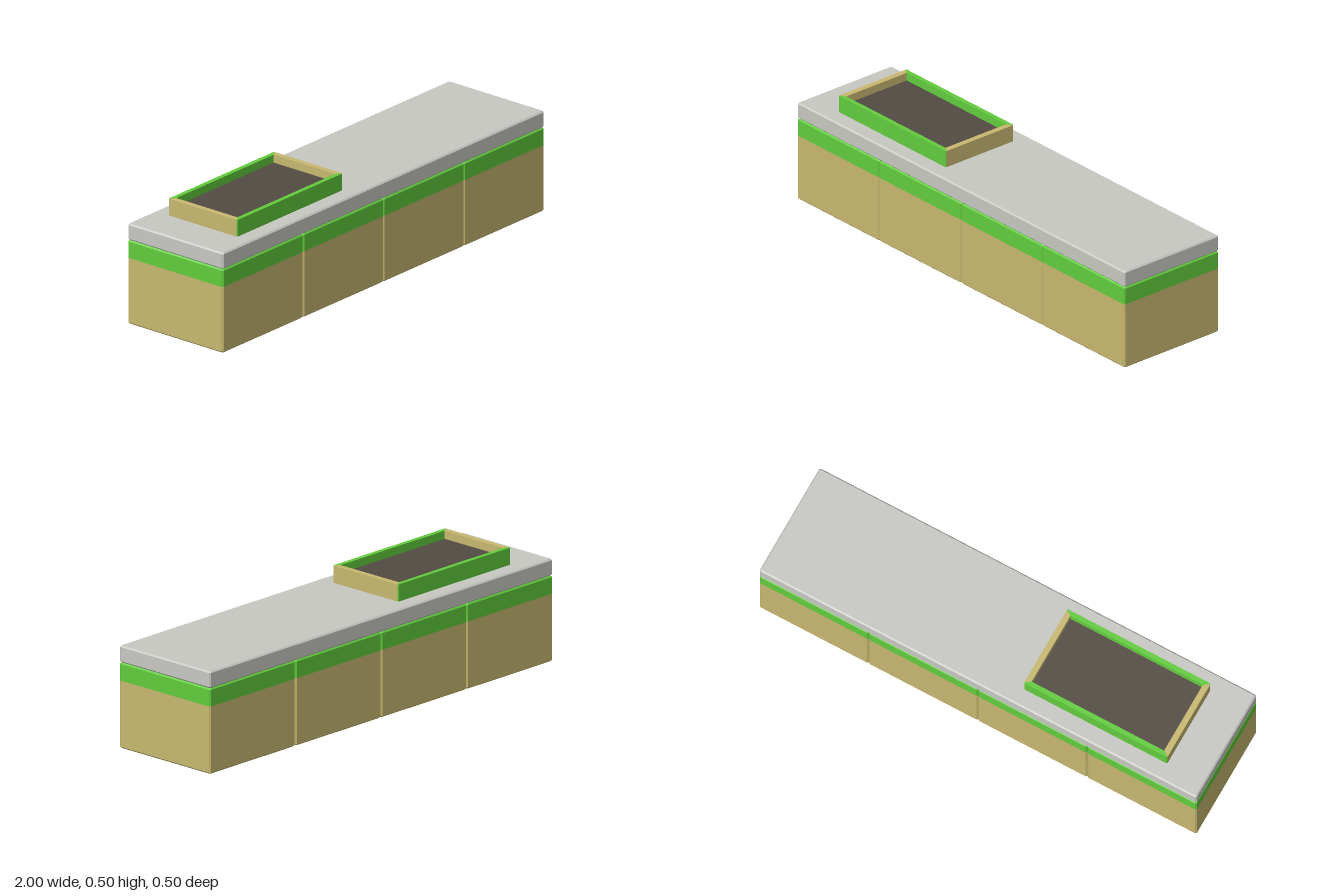
import * as THREE from 'three';

const mat = (name, color) => new THREE.MeshStandardMaterial({ name, color });

// Rectangle outline with cut corners
function cutRect(w, d, c) {
  const x = w / 2, z = d / 2;
  return [[x - c, z], [x, z - c], [x, -z + c], [x - c, -z],
    [-x + c, -z], [-x, -z + c], [-x, z - c], [-x + c, z]];
}

// Flat-shaded block lofted through levels of [inset, y]
function loft(w, d, cut, levels) {
  const pos = [], idx = [], n = 8;
  for (const [inset, y] of levels) {
    for (const [x, z] of cutRect(w - 2 * inset, d - 2 * inset, cut)) pos.push(x, y, z);
  }
  for (let l = 0; l < levels.length - 1; l++) {
    for (let i = 0; i < n; i++) {
      const a = l * n + i, b = l * n + (i + 1) % n;
      idx.push(a, b, a + n, b, b + n, a + n);
    }
  }
  const top = (levels.length - 1) * n;
  for (let i = 1; i < n - 1; i++) {
    idx.push(0, i + 1, i);
    idx.push(top, top + i, top + i + 1);
  }
  const g = new THREE.BufferGeometry();
  g.setAttribute('position', new THREE.Float32BufferAttribute(pos, 3));
  g.setIndex(idx);
  const flat = g.toNonIndexed();
  flat.computeVertexNormals();
  return flat;
}

// Mitred wall: half length, outer distance from the centre, thickness at its ends and across
function wall(half, out, endT, t, cut, height) {
  const s = new THREE.Shape([[-half + cut, -out], [half - cut, -out], [half, -out + cut],
    [half - endT, -out + t], [-half + endT, -out + t], [-half, -out + cut]]
    .map(([x, y]) => new THREE.Vector2(x, y)));
  return new THREE.ExtrudeGeometry(s, { depth: height, bevelEnabled: false }).rotateX(-Math.PI / 2);
}

export function createModel() {
  const wood = mat('tan wood', 0xc8b870);
  const green = mat('green paint', 0x62cc3c);
  const stone = mat('grey worktop', 0xc8c8c3);
  const dark = mat('dark basin', 0x524b43);
  const model = new THREE.Group();
  const add = (parent, name, geometry, material) => {
    const m = new THREE.Mesh(geometry, material);
    m.name = name;
    parent.add(m);
    return m;
  };

  // Row of four cabinets, each with a painted upper band
  const c = 0.006, band = 0.285, top = 0.361;
  const body = loft(0.5, 0.5, c, [[c, 0], [0, c], [0, band]]);
  const strip = loft(0.5, 0.5, c, [[0, band], [0, top - c], [c, top]]);
  for (let i = 0; i < 4; i++) {
    const cabinet = new THREE.Group();
    cabinet.name = 'cabinet' + (i + 1);
    cabinet.position.x = -0.75 + i * 0.5;
    add(cabinet, 'cabinetBody', body, wood);
    add(cabinet, 'cabinetBand', strip, green);
    model.add(cabinet);
  }

  // Worktop slab
  add(model, 'worktop', loft(2, 0.5, c,
    [[c, top], [0, top + c], [0, 0.432 - c], [c, 0.432]]), stone);

  // Raised open tray: green long walls, wooden ends, dark floor
  const tray = new THREE.Group();
  tray.name = 'tray';
  tray.position.set(-0.5, 0.432, 0);
  model.add(tray);
  const W = 0.328, D = 0.18, tEnd = 0.025, tLong = 0.02, h = 0.072, cut = 0.004;
  const longWall = wall(W, D, tEnd, tLong, cut, h);
  const endWall = wall(D - cut, W, tLong - cut, tEnd, 0, h);
  for (const side of [0, 1]) {
    add(tray, 'trayLongWall', longWall, green).rotation.y = side * Math.PI;
    add(tray, 'trayEndWall', endWall, wood).rotation.y = Math.PI / 2 + side * Math.PI;
  }
  const floor = add(tray, 'trayFloor',
    new THREE.BoxGeometry(2 * (W - tEnd), 0.038, 2 * (D - tLong)), dark);
  floor.position.y = 0.019;
  return model;
}
